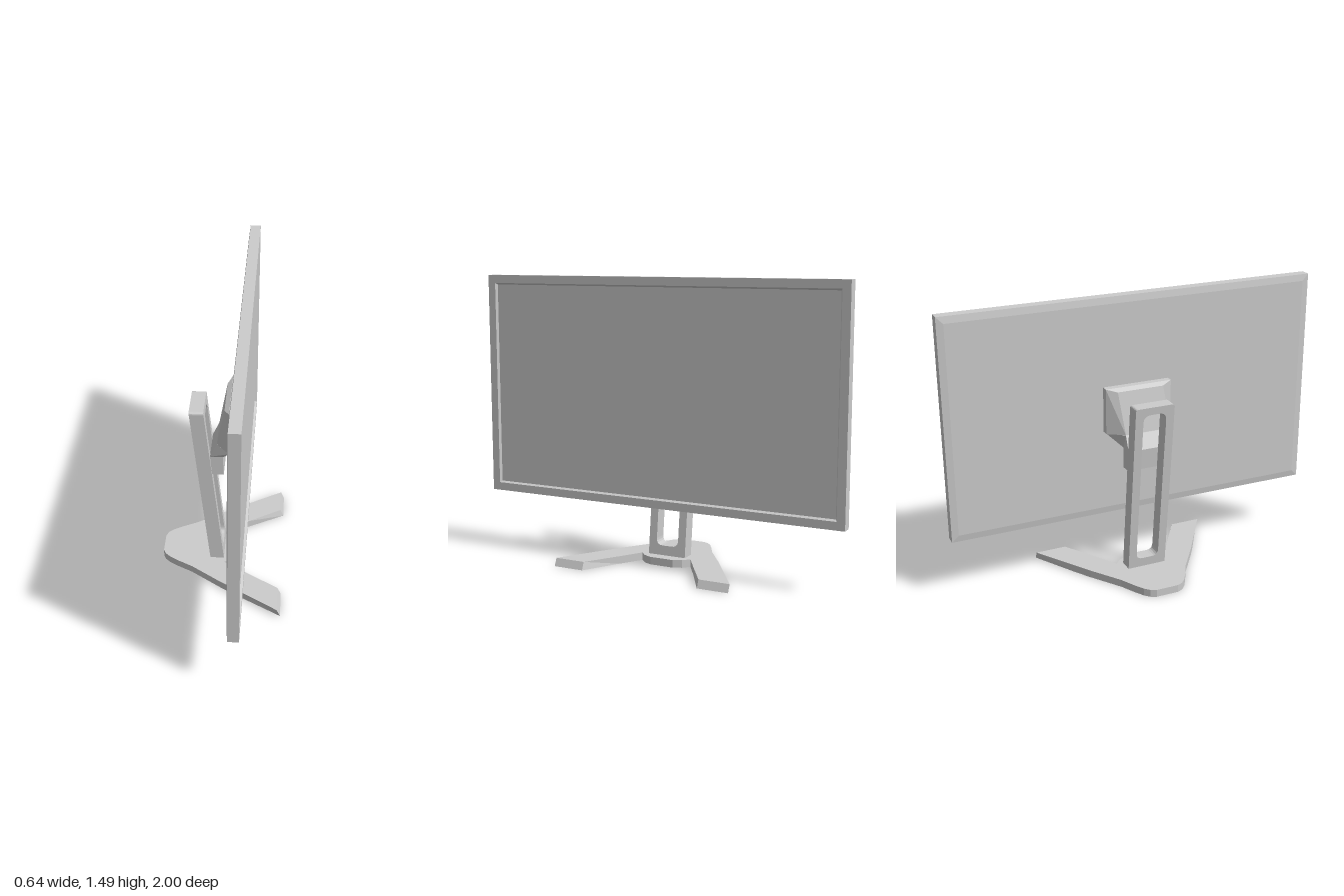
import * as THREE from 'three';

const material = new THREE.MeshStandardMaterial({ color: 0xcccccc, flatShading: true });

function addMesh(parent, name, geometry) {
  geometry.computeVertexNormals();
  const mesh = new THREE.Mesh(geometry, material);
  mesh.name = name;
  parent.add(mesh);
  return mesh;
}

// Closed solid through four-cornered sections, listed in the loft direction
function loft(sections) {
  const out = [];
  const quad = (a, b, c, d) => out.push(...a, ...b, ...c, ...a, ...c, ...d);
  for (let i = 0; i < sections.length - 1; i++) {
    const s = sections[i], t = sections[i + 1];
    for (let j = 0; j < 4; j++) {
      const k = (j + 1) % 4;
      quad(s[j], s[k], t[k], t[j]);
    }
  }
  const [a, b, c, d] = sections[0];
  quad(d, c, b, a);
  quad(...sections[sections.length - 1]);
  const geometry = new THREE.BufferGeometry();
  geometry.setAttribute('position', new THREE.Float32BufferAttribute(out, 3));
  return geometry;
}

// Upright section: bottom edge (x0, y0, w0) and top edge (x1, y1, w1)
const upright = (x0, y0, w0, x1, y1, w1) =>
  [[x0, y0, -w0], [x1, y1, -w1], [x1, y1, w1], [x0, y0, w0]];

// Level section: back edge (xb, wb) and front edge (xf, wf)
const level = (y, xb, wb, xf, wf) =>
  [[xb, y, -wb], [xb, y, wb], [xf, y, wf], [xf, y, -wf]];

// Rectangle with rounded top corners and, optionally, rounded bottom corners
function roundedRect(path, w, y0, y1, rTop, rBottom) {
  path.moveTo(-w + rBottom, y0);
  path.lineTo(w - rBottom, y0);
  if (rBottom) path.quadraticCurveTo(w, y0, w, y0 + rBottom);
  path.lineTo(w, y1 - rTop);
  path.quadraticCurveTo(w, y1, w - rTop, y1);
  path.lineTo(-w + rTop, y1);
  path.quadraticCurveTo(-w, y1, -w, y1 - rTop);
  path.lineTo(-w, y0 + rBottom);
  if (rBottom) path.quadraticCurveTo(-w, y0, -w + rBottom, y0);
  return path;
}

function displayPanel() {
  // Rings of [x, inset] from the back, round the bezel, into the recessed screen
  const rings = [[0.075, 0.035], [0.08, 0], [0.135, 0], [0.135, 0.042], [0.122, 0.05]];
  return loft(rings.map(([x, i]) => upright(x, 0.32 + i, 1 - i, x, 1.485 - i, 1 - i)));
}

function standPost() {
  const shape = roundedRect(new THREE.Shape(), 0.105, 0.035, 0.975, 0.015, 0);
  shape.holes.push(roundedRect(new THREE.Path(), 0.062, 0.09, 0.935, 0.04, 0.035));
  const geometry = new THREE.ExtrudeGeometry(shape, { depth: 0.073, bevelEnabled: false, curveSegments: 5 });
  geometry.rotateY(Math.PI / 2);
  // Lean the post backwards
  const p = geometry.attributes.position;
  for (let i = 0; i < p.count; i++) {
    p.setX(i, p.getX(i) - 0.067 - 0.11 * (p.getY(i) - 0.04));
  }
  return geometry;
}

function standBase() {
  // Half outline from the rounded heel, along one leg, to the small front lobe
  const half = [
    [-0.325, 0.06], [-0.312, 0.09], [-0.285, 0.115], [-0.24, 0.143], [-0.16, 0.185],
    [0, 0.297], [0.075, 0.345], [0.32, 0.49], [0.32, 0.325], [0.13, 0.215],
    [0.01, 0.14], [0.045, 0.11], [0.065, 0.065],
  ];
  const outline = [...half, ...half.map(([x, z]) => [x, -z]).reverse()];
  const shape = new THREE.Shape(outline.map(([x, z]) => new THREE.Vector2(x, z)));
  const geometry = new THREE.ExtrudeGeometry(shape, { depth: 0.04, bevelEnabled: false });
  geometry.rotateX(-Math.PI / 2);
  // Slope the toe ends
  const p = geometry.attributes.position;
  for (let i = 0; i < p.count; i++) {
    if (p.getX(i) > 0.31 && p.getY(i) > 0.02) p.setX(i, 0.302);
  }
  return geometry;
}

export function createModel() {
  const model = new THREE.Group();
  model.name = 'monitor';

  addMesh(model, 'displayPanel', displayPanel());

  // Mount: tapered plate behind the panel, and the neck that rides on the post
  const mount = new THREE.Group();
  mount.name = 'mount';
  model.add(mount);
  addMesh(mount, 'mountPlate', loft([
    upright(-0.03, 0.79, 0.1, 0.01, 1.01, 0.125),
    upright(0.035, 0.785, 0.18, 0.035, 1.025, 0.18),
    upright(0.07, 0.785, 0.18, 0.07, 1.025, 0.18),
  ]));
  addMesh(mount, 'mountNeck', loft([
    level(0.6, -0.055, 0.1, 0.005, 0.1),
    level(0.71, -0.065, 0.1, 0, 0.1),
    level(0.788, -0.03, 0.1, 0.035, 0.18),
  ]));
  const spacer = addMesh(mount, 'mountSpacer', new THREE.BoxGeometry(0.02, 0.14, 0.14));
  spacer.position.set(0.07, 0.905, 0);

  addMesh(model, 'standPost', standPost());
  addMesh(model, 'standBase', standBase());
  return model;
}
